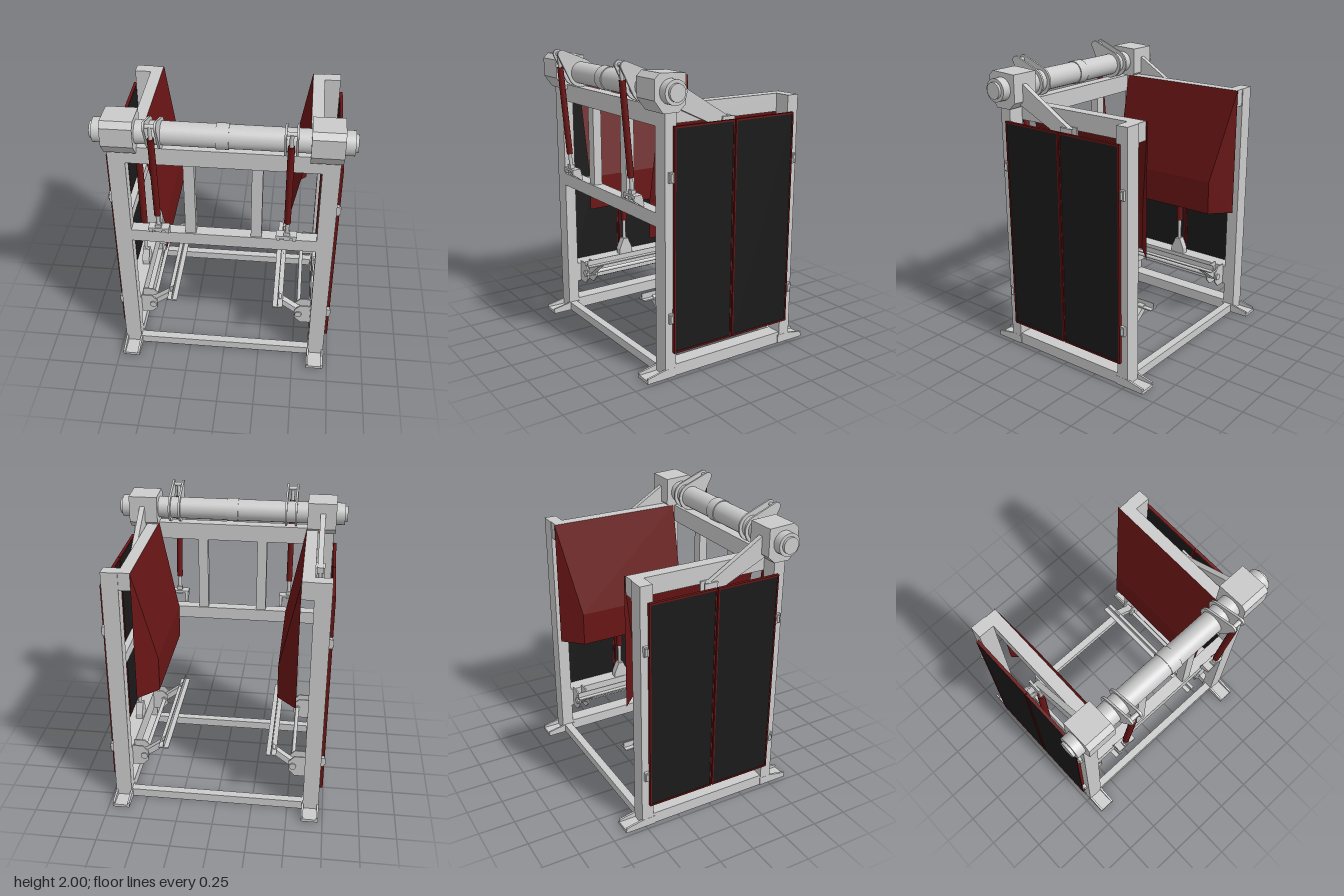
import * as THREE from 'three';

const mat = (color, side = THREE.FrontSide) => new THREE.MeshStandardMaterial({ color, side });
const grey = mat(0xcccccc);
const red = mat(0x6a1515);
const redSheet = mat(0x6a1515, THREE.DoubleSide);
const black = mat(0x1a1a1a);

export function createModel() {
  const model = new THREE.Group();
  model.name = 'tiltingSqueezeFrame';

  const add = (name, geo, material = grey) => {
    const mesh = new THREE.Mesh(geo, material);
    mesh.name = name;
    model.add(mesh);
    return mesh;
  };
  // Box given by its limits on each axis (x limits may be mirrored)
  const box = (name, xa, xb, ya, yb, za, zb, material) =>
    add(name, new THREE.BoxGeometry(Math.abs(xb - xa), yb - ya, zb - za)
      .translate((xa + xb) / 2, (ya + yb) / 2, (za + zb) / 2), material);
  // Round bar between two points
  const rod = (name, a, b, r, material, seg = 24) => {
    const p = new THREE.Vector3(...a), q = new THREE.Vector3(...b);
    const d = q.clone().sub(p);
    const geo = new THREE.CylinderGeometry(r, r, d.length(), seg);
    geo.applyQuaternion(new THREE.Quaternion().setFromUnitVectors(
      new THREE.Vector3(0, 1, 0), d.clone().normalize()));
    const m = p.add(q).multiplyScalar(0.5);
    return add(name, geo.translate(m.x, m.y, m.z), material);
  };
  const outline = pts => new THREE.Shape(pts.map(p => new THREE.Vector2(...p)));
  // Plate with a (z, y) outline, extruded across x
  const plateX = (name, shape, x, w, material) =>
    add(name, new THREE.ExtrudeGeometry(shape, { depth: w, bevelEnabled: false, curveSegments: 16 })
      .translate(0, 0, -w / 2).rotateY(-Math.PI / 2).translate(x, 0, 0), material);
  // Plate with an (x, y) outline, extruded along z
  const plateZ = (name, pts, s, z, d) =>
    add(name, new THREE.ExtrudeGeometry(outline(pts.map(([x, y]) => [x * s, y])),
      { depth: d, bevelEnabled: false }).translate(0, 0, z));

  // Front and rear cross members
  box('frontSill', -0.61, 0.61, 0, 0.06, 0.45, 0.505);
  box('rearSill', -0.61, 0.61, 0, 0.06, -0.51, -0.455);
  box('frontHeader', -0.61, 0.61, 1.62, 1.74, 0.43, 0.51);
  box('frontMidBeam', -0.61, 0.61, 0.99, 1.08, 0.43, 0.51);

  // Torque tube with centre sleeve
  const tubeY = 1.838, tubeZ = 0.48;
  rod('torqueTube', [-0.79, tubeY, tubeZ], [0.79, tubeY, tubeZ], 0.075, grey, 40);
  rod('tubeSleeve', [-0.04, tubeY, tubeZ], [0.04, tubeY, tubeZ], 0.081, grey, 40);

  for (const s of [1, -1]) {
    const X = x => x * s;

    // Corner posts, rails and top beam
    box('frontPost', X(0.61), X(0.72), 0.02, 1.74, 0.43, 0.51);
    box('rearPost', X(0.61), X(0.72), 0.02, 1.74, -0.525, -0.44);
    box('sideSill', X(0.61), X(0.715), 0, 0.08, -0.44, 0.43);
    box('sideLowerRail', X(0.61), X(0.715), 0.22, 0.36, -0.44, 0.43);
    box('sideMidRail', X(0.67), X(0.715), 0.92, 1.0, -0.44, 0.43);
    box('sideTopBeam', X(0.53), X(0.61), 1.62, 1.74, -0.52, 0.43);
    box('frontUpright', X(0.18), X(0.25), 1.08, 1.62, 0.44, 0.5);

    // Channel feet with tapered flanges
    for (const e of [1, -1]) {
      box('footPlate', X(0.605), X(0.72), 0, 0.02, e > 0 ? 0.43 : -0.645, e > 0 ? 0.64 : -0.44);
      for (const x of [0.61, 0.714])
        plateX('footFlange', outline([[0.43 * e, 0], [0.642 * e, 0], [0.642 * e, 0.035],
          [0.51 * e, 0.06], [0.43 * e, 0.06]]), X(x), 0.014);
    }

    // Bearing housing and stepped tube end
    plateX('bearingHousing', outline([[0.37, 1.755], [0.42, 1.71], [0.53, 1.71], [0.59, 1.79],
      [0.59, 1.915], [0.555, 1.95], [0.37, 1.94]]), X(0.632), 0.2);
    rod('endCap', [X(0.73), tubeY, tubeZ], [X(0.792), tubeY, tubeZ], 0.077, grey, 32);
    rod('endBoss', [X(0.79), tubeY, tubeZ], [X(0.81), tubeY, tubeZ], 0.055, grey, 32);

    // Side lever from the housing down to the side cylinder
    plateX('sideLever', outline([[0.4, 1.89], [0.37, 1.87], [-0.02, 1.63], [-0.02, 1.59],
      [0.1, 1.59], [0.42, 1.74]]), X(0.638), 0.036);
    for (const x of [0.613, 0.663])
      box('leverClevis', X(x - 0.007), X(x + 0.007), 1.56, 1.64, -0.05, 0.045);

    // Upright side cylinder on its pedestal
    rod('sideCylinderRod', [X(0.64), 0.45, 0], [X(0.64), 1.6, 0], 0.013);
    rod('sideCylinder', [X(0.64), 0.63, 0], [X(0.64), 1.4, 0], 0.024, red);
    plateX('cylinderPedestal', outline([[-0.055, 0.36], [0.055, 0.36], [0.055, 0.4],
      [0.02, 0.48], [-0.02, 0.48], [-0.055, 0.4]]), X(0.64), 0.05);

    // Lift lever plates on the tube
    const tip = new THREE.Vector2(0.62, 1.968);
    const lever = new THREE.Shape();
    const dir = Math.atan2(tip.y - tubeY, tip.x - tubeZ);
    lever.absarc(tubeZ, tubeY, 0.098, dir + 1.3, dir - 1.3 + Math.PI * 2, false);
    lever.absarc(tip.x, tip.y, 0.03, dir - 1.3, dir + 1.3, false);
    for (const x of [0.38, 0.45]) plateX('liftLever', lever, X(x), 0.014);
    rod('liftPin', [X(0.373), tip.y, tip.x], [X(0.457), tip.y, tip.x], 0.014);

    // Inclined lift cylinder
    const at = y => [X(0.415), y, 0.555 + (y - 1.15) * 0.085];
    rod('liftRod', at(1.14), at(1.97), 0.013);
    rod('liftCylinder', at(1.27), at(1.88), 0.021, red);

    // Lower cylinder bracket on the mid beam
    for (const x of [0.358, 0.465])
      plateX('liftBracketSide', outline([[0.51, 1.08], [0.58, 1.13], [0.58, 1.165],
        [0.52, 1.165], [0.505, 1.1]]), X(x), 0.022);
    box('liftBracketTop', X(0.345), X(0.48), 1.148, 1.165, 0.52, 0.58);
    box('liftBracketLug', X(0.395), X(0.435), 1.13, 1.19, 0.54, 0.575);

    // Folded squeeze panel: sloping upper face, upright lower face, flared rear
    const a = [X(0.53), 1.74, 0.42], b = [X(0.4), 1.08, 0.42], c = [X(0.4), 0.84, 0.42];
    const d = [X(0.53), 1.74, -0.53], e = [X(0.4), 1.08, -0.4], f = [X(0.4), 0.84, -0.4];
    const g = [X(0.53), 0.84, -0.53];
    let tris = [[a, d, e], [a, e, b], [b, e, f], [b, f, c], [d, g, e], [e, g, f]];
    if (s < 0) tris = tris.map(t => [t[0], t[2], t[1]]);
    const panel = new THREE.BufferGeometry();
    panel.setAttribute('position', new THREE.Float32BufferAttribute(tris.flat(2), 3));
    panel.computeVertexNormals();
    add('squeezePanel', panel, redSheet);

    // Pair of side doors: red rims around dark infill
    for (const [za, zb] of [[0.004, 0.455], [-0.475, -0.004]]) {
      box('doorInfill', X(0.724), X(0.738), 0.18, 1.62, za + 0.008, zb - 0.008, black);
      for (const [y0, y1, z0, z1] of [[0.17, 0.182, za, zb], [1.618, 1.63, za, zb],
        [0.182, 1.618, za, za + 0.01], [0.182, 1.618, zb - 0.01, zb]])
        box('doorRim', X(0.721), X(0.742), y0, y1, z0, z1, red);
    }
    // Door hinges
    for (const y of [1.32, 0.41])
      for (const z of [0.473, -0.495]) {
        box('doorHinge', X(0.715), X(0.74), y - 0.033, y + 0.033, z - 0.015, z + 0.015);
        rod('hingePin', [X(0.74), y - 0.025, z], [X(0.74), y + 0.025, z], 0.009, grey, 12);
      }

    // Swinging floor arm: brackets, pivots, links and long angle bar
    for (const z of [-0.385, 0.365]) {
      for (const o of [-0.04, 0.03])
        plateZ('armBracket', [[0.61, 0.22], [0.54, 0.22], [0.497, 0.265], [0.497, 0.335],
          [0.535, 0.378], [0.61, 0.378]], s, z + o, 0.01);
      rod('armPivot', [X(0.525), 0.3, z - 0.05], [X(0.525), 0.3, z + 0.05], 0.024);
      plateZ('armLink', [[0.537, 0.317], [0.515, 0.284], [0.36, 0.4], [0.382, 0.434]],
        s, z - 0.025, 0.05);
    }
    rod('pivotShaft', [X(0.525), 0.3, -0.42], [X(0.525), 0.3, 0.4], 0.014);
    plateZ('armAngleBar', [[0.41, 0.412], [0.34, 0.412], [0.34, 0.42], [0.372, 0.42],
      [0.372, 0.458], [0.378, 0.458], [0.378, 0.42], [0.41, 0.42]], s, -0.48, 0.95);
  }

  return model;
}
